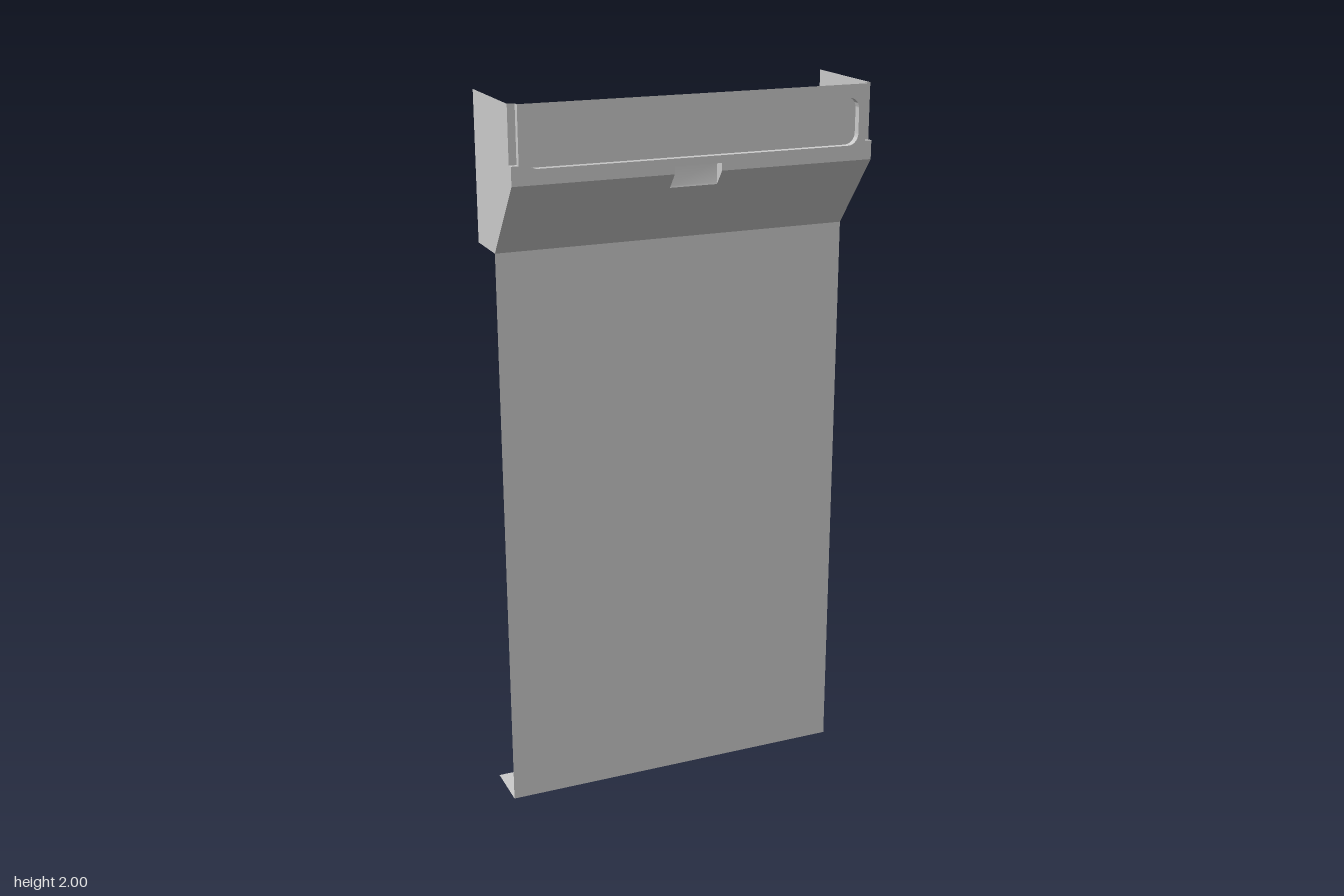
import * as THREE from 'three';
import { toCreasedNormals } from 'three/addons/utils/BufferGeometryUtils.js';

const W = 0.5, FRONT = 0.151, BACK = -0.151, PANEL_Z = -0.008;
const SHELF_Y = 1.6, BEND_Y = 1.8, TOP = 2;
const NOTCH_X = 0.48, NOTCH_Y = 1.85, NOTCH_Z = 0.134;
const POCKET_Z = 0.131;
const TAB = { x: 0.066, top: 1.82, bottom: 1.765, edge: 1.76, z: 0.118 };
// depth of the sloped panel at height y
const slopeZ = y => THREE.MathUtils.mapLinear(y, SHELF_Y, BEND_Y, PANEL_Z, FRONT);

const material = new THREE.MeshStandardMaterial({ color: 0xcccccc, side: THREE.DoubleSide });

function outline(points) {
  return new THREE.Shape(points.map(([x, y]) => new THREE.Vector2(x, y)));
}

// flat sheet drawn in x/y, each vertex set to the depth given by zAt(y)
function sheet(shape, zAt) {
  const geo = new THREE.ShapeGeometry(shape, 8);
  const p = geo.attributes.position;
  for (let i = 0; i < p.count; i++) p.setZ(i, zAt(p.getY(i)));
  geo.computeVertexNormals();
  return geo;
}

// sheet drawn in z/y and standing at a given x
function sideSheet(points, x) {
  const geo = new THREE.ShapeGeometry(outline(points));
  geo.rotateY(-Math.PI / 2);
  return geo.translate(x, 0, 0);
}

// ribbon joining two rows of points
function ribbon(rowA, rowB) {
  const pos = [], index = [];
  rowA.forEach((a, i) => pos.push(...a, ...rowB[i]));
  for (let i = 0; i < rowA.length - 1; i++) {
    const k = i * 2;
    index.push(k, k + 1, k + 2, k + 2, k + 1, k + 3);
  }
  const geo = new THREE.BufferGeometry();
  geo.setAttribute('position', new THREE.Float32BufferAttribute(pos, 3));
  geo.setIndex(index);
  geo.computeVertexNormals();
  return toCreasedNormals(geo, 0.6);
}

// folded strip of constant width following a [z, y] profile
function fold(halfWidth, profile) {
  return ribbon(profile.map(([z, y]) => [-halfWidth, y, z]), profile.map(([z, y]) => [halfWidth, y, z]));
}

function roundedRect(x, y0, y1, r, target) {
  target.moveTo(-x + r, y0);
  target.lineTo(x - r, y0);
  target.absarc(x - r, y0 + r, r, -Math.PI / 2, 0);
  target.absarc(x - r, y1 - r, r, 0, Math.PI / 2);
  target.absarc(-x + r, y1 - r, r, Math.PI / 2, Math.PI);
  target.absarc(-x + r, y0 + r, r, Math.PI, Math.PI * 1.5);
  return target;
}

export function createModel() {
  const model = new THREE.Group();
  const add = (name, geometry) => {
    const mesh = new THREE.Mesh(geometry, material);
    mesh.name = name;
    model.add(mesh);
  };

  // long front panel with its return at the foot, and the shelf above
  add('lowerPanel', fold(W, [[PANEL_Z, SHELF_Y], [PANEL_Z, 0]]));
  add('footLip', fold(W, [[PANEL_Z, 0], [BACK, 0]]));
  add('shelf', fold(W, [[PANEL_Z, SHELF_Y], [BACK, SHELF_Y]]));

  // upper front panel: corner notches, finger slot and pocket opening
  const face = outline([
    [-W, BEND_Y], [-TAB.x, BEND_Y], [-TAB.x, TAB.top], [TAB.x, TAB.top], [TAB.x, BEND_Y], [W, BEND_Y],
    [W, NOTCH_Y], [NOTCH_X, NOTCH_Y], [NOTCH_X, TOP], [-NOTCH_X, TOP], [-NOTCH_X, NOTCH_Y], [-W, NOTCH_Y],
  ]);
  const pocket = t => roundedRect(0.46, 1.84, 1.965, 0.03, t);
  face.holes.push(pocket(new THREE.Path()));
  add('upperPanel', sheet(face, () => FRONT));

  // shallow rounded pocket
  const pocketShape = pocket(new THREE.Shape());
  const rim = pocketShape.getPoints(8);
  rim.push(rim[0]);
  add('pocketFloor', sheet(pocketShape, () => POCKET_Z));
  add('pocketWall', ribbon(rim.map(p => [p.x, p.y, POCKET_Z]), rim.map(p => [p.x, p.y, FRONT])));

  // sloped panel with the lower half of the finger slot
  add('slopedPanel', sheet(outline([
    [-W, SHELF_Y], [W, SHELF_Y], [W, BEND_Y], [TAB.x, BEND_Y], [TAB.x, TAB.edge],
    [-TAB.x, TAB.edge], [-TAB.x, BEND_Y], [-W, BEND_Y],
  ]), slopeZ));

  // finger slot across the bend
  const slot = [[FRONT, TAB.top], [TAB.z, TAB.top], [TAB.z, TAB.bottom], [slopeZ(TAB.edge), TAB.edge]];
  add('fingerSlot', fold(TAB.x, slot));

  for (const s of [-1, 1]) {
    const side = s > 0 ? 'left' : 'right';
    add(side + 'SlotEnd', sideSheet([...slot, [FRONT, BEND_Y]], s * TAB.x));
    add(side + 'Side', sideSheet([
      [BACK, SHELF_Y], [PANEL_Z, SHELF_Y], [FRONT, BEND_Y], [FRONT, NOTCH_Y],
      [NOTCH_Z, NOTCH_Y], [NOTCH_Z, TOP], [BACK, TOP],
    ], s * W));

    // recessed corner: two upright walls and a small floor
    const a = s * NOTCH_X, b = s * W;
    add(side + 'CornerWalls', ribbon(
      [[a, NOTCH_Y, FRONT], [a, NOTCH_Y, NOTCH_Z], [b, NOTCH_Y, NOTCH_Z]],
      [[a, TOP, FRONT], [a, TOP, NOTCH_Z], [b, TOP, NOTCH_Z]]));
    add(side + 'CornerFloor', ribbon(
      [[a, NOTCH_Y, NOTCH_Z], [b, NOTCH_Y, NOTCH_Z]],
      [[a, NOTCH_Y, FRONT], [b, NOTCH_Y, FRONT]]));
  }
  return model;
}
